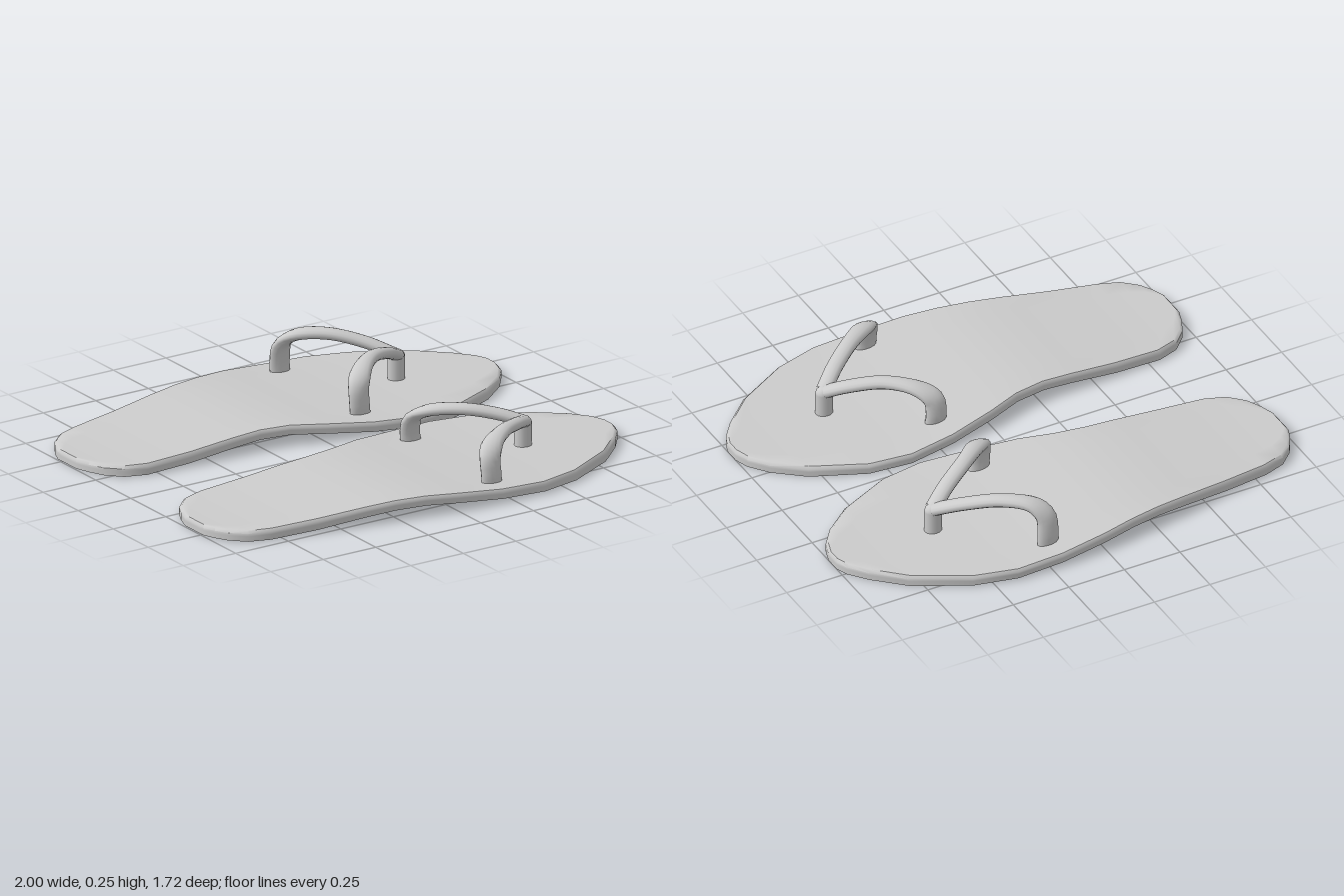
import * as THREE from 'three';
import { toCreasedNormals } from 'three/addons/utils/BufferGeometryUtils.js';
import { ParametricGeometry } from 'three/addons/geometries/ParametricGeometry.js';

const material = new THREE.MeshStandardMaterial({ color: 0xcccccc });

// Sole stations from heel to toe: x, inner z, outer z, top y, bottom y
const STATIONS = [
  [-1.0, 0.39, 0.52, 0.046, 0.005], [-0.98, 0.33, 0.57, 0.046, 0.005],
  [-0.95, 0.27, 0.62, 0.046, 0.004], [-0.89, 0.21, 0.675, 0.046, 0.003],
  [-0.8, 0.18, 0.705, 0.048, 0.003], [-0.6, 0.172, 0.74, 0.059, 0.014],
  [-0.4, 0.17, 0.775, 0.076, 0.035], [-0.27, 0.168, 0.797, 0.084, 0.045],
  [-0.14, 0.147, 0.82, 0.084, 0.046], [0.0, 0.1, 0.845, 0.075, 0.036],
  [0.2, 0.053, 0.862, 0.057, 0.018], [0.4, 0.026, 0.861, 0.048, 0.008],
  [0.58, 0.05, 0.813, 0.045, 0.003], [0.8, 0.15, 0.692, 0.044, 0],
  [0.92, 0.247, 0.58, 0.044, 0], [0.98, 0.325, 0.505, 0.044, 0],
  [1.0, 0.385, 0.455, 0.044, 0],
];

// A box bent to the foot outline, with a small bevel round the top edge
function makeSole() {
  const n = STATIONS.length - 1;
  const geo = new THREE.BoxGeometry(1, 1, 1, n, 4, 6);
  const pos = geo.attributes.position;
  for (let i = 0; i < pos.count; i++) {
    const [x, z0, z1, top, bottom] = STATIONS[Math.round((pos.getX(i) + 0.5) * n)];
    const t = pos.getY(i) + 0.5;
    const inset = t > 0.99 ? 0.008 : 0;
    const width = z1 - z0 - 2 * inset;
    pos.setXYZ(i, x * (1 - inset), THREE.MathUtils.lerp(bottom, top, t),
      (z0 + z1) / 2 + pos.getZ(i) * width);
  }
  const mesh = new THREE.Mesh(toCreasedNormals(geo, 0.8), material);
  mesh.name = 'sole';
  return mesh;
}

// A flattened tube whose wide side turns from lengthwise at the leg to level across the strap
function makeStrap(name, points, side, lift) {
  const last = points.length - 1;
  const curve = new THREE.CatmullRomCurve3(points.map(([x, y, z], i) =>
    new THREE.Vector3(x, y + lift * Math.sin((Math.PI * i) / last), z)));
  const geo = new ParametricGeometry((u, v, target) => {
    const angle = u * Math.PI * 2;
    const turn = THREE.MathUtils.smoothstep(v, 0.15, 0.6);
    const t = curve.getTangentAt(v);
    const wide = new THREE.Vector3(1, 0, side * 1.17 * turn);
    wide.addScaledVector(t, -wide.dot(t)).normalize();
    const thin = t.clone().cross(wide);
    target.copy(curve.getPointAt(v))
      .addScaledVector(wide, Math.cos(angle) * THREE.MathUtils.lerp(0.046, 0.034, turn))
      .addScaledVector(thin, Math.sin(angle) * 0.024);
  }, 14, 28);
  const mesh = new THREE.Mesh(geo, material);
  mesh.name = name;
  return mesh;
}

function makeSandal(name, outerLift, innerLift) {
  const sandal = new THREE.Group();
  sandal.name = name;
  sandal.add(makeSole());
  sandal.add(makeStrap('outerStrap', [
    [0.215, 0.03, 0.757], [0.212, 0.09, 0.756], [0.215, 0.15, 0.742], [0.25, 0.187, 0.705],
    [0.35, 0.2, 0.63], [0.47, 0.178, 0.54], [0.565, 0.145, 0.457],
  ], 1, outerLift));
  sandal.add(makeStrap('innerStrap', [
    [0.215, 0.03, 0.182], [0.208, 0.09, 0.18], [0.213, 0.15, 0.193], [0.255, 0.186, 0.237],
    [0.36, 0.199, 0.325], [0.48, 0.176, 0.398], [0.565, 0.145, 0.45],
  ], -1, innerLift));

  // Post between the toes, rounded where the straps meet
  const post = new THREE.Mesh(new THREE.CapsuleGeometry(0.032, 0.092, 6, 16), material);
  post.name = 'toePost';
  post.scale.x = 1.15;
  post.position.set(0.565, 0.091, 0.453);
  sandal.add(post);
  return sandal;
}

export function createModel() {
  const model = new THREE.Group();
  model.name = 'sandals';
  const near = makeSandal('frontSandal', 0, 0);
  // The mirrored sandal has slightly higher straps
  const far = makeSandal('backSandal', 0.028, 0.02);
  far.scale.z = -1;
  model.add(near, far);
  return model;
}
